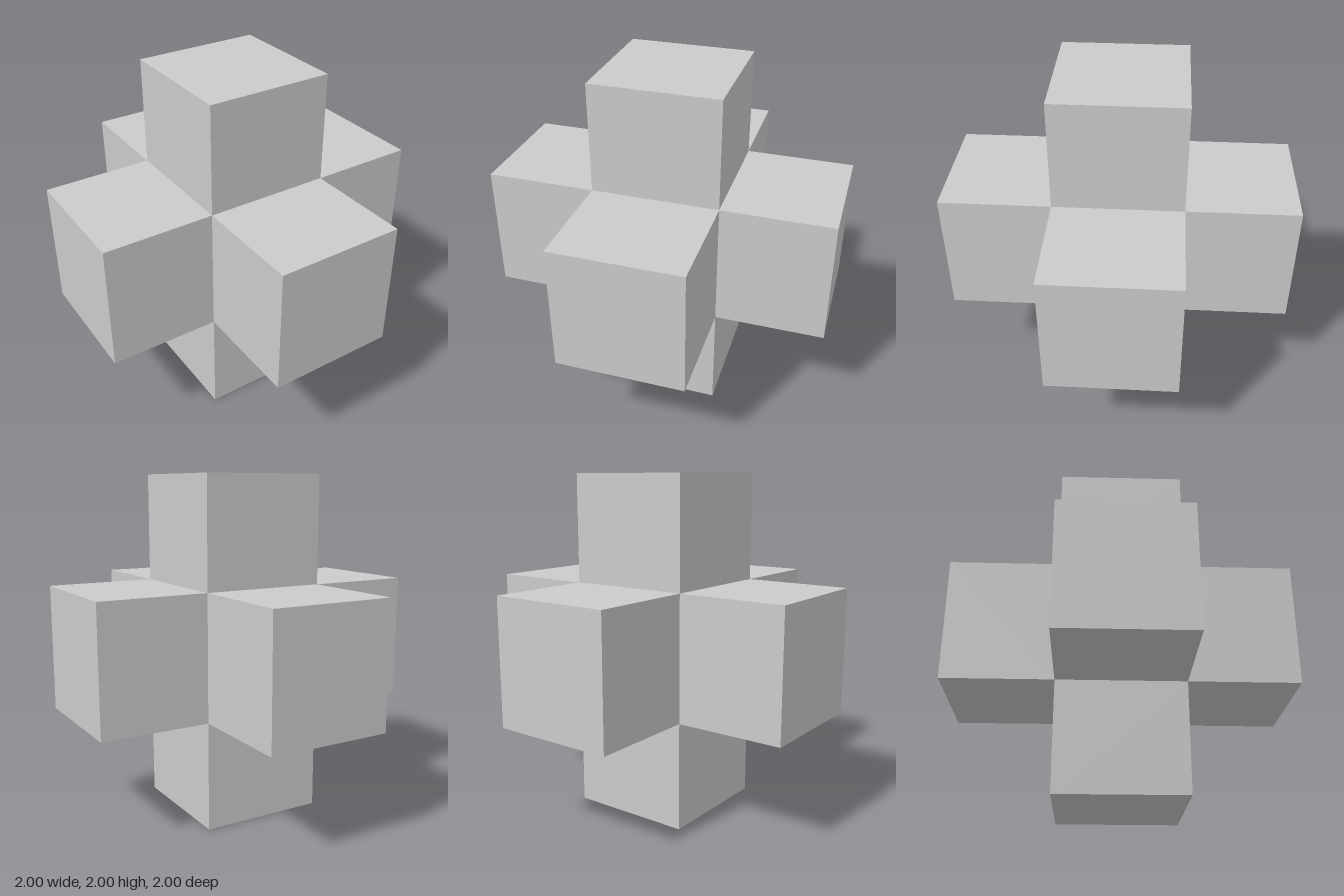
import * as THREE from 'three';

const WIDTH = 0.733; // side of the square arm section
const LENGTH = 1 - WIDTH / 2; // from the hidden core cube to the tip

// Square arm pointing up +y, left open where it meets the core
function armGeometry() {
  const geometry = new THREE.BoxGeometry(WIDTH, LENGTH, WIDTH);
  const index = Array.from(geometry.index.array);
  index.splice(18, 6); // drop the bottom face
  geometry.setIndex(index);
  geometry.clearGroups();
  geometry.translate(0, WIDTH / 2 + LENGTH / 2, 0);
  return geometry;
}

export function createModel() {
  const group = new THREE.Group();
  group.name = 'threeAxisCross';
  const material = new THREE.MeshStandardMaterial({ color: 0xcccccc, flatShading: true });
  const geometry = armGeometry();

  // One arm along each direction: [name, rotation x, rotation z]
  const arms = [
    ['topArm', 0, 0],
    ['bottomArm', Math.PI, 0],
    ['frontArm', Math.PI / 2, 0],
    ['backArm', -Math.PI / 2, 0],
    ['leftArm', 0, -Math.PI / 2],
    ['rightArm', 0, Math.PI / 2],
  ];
  for (const [name, rx, rz] of arms) {
    const arm = new THREE.Mesh(geometry, material);
    arm.name = name;
    arm.rotation.set(rx, 0, rz);
    arm.position.y = 1;
    group.add(arm);
  }
  return group;
}
